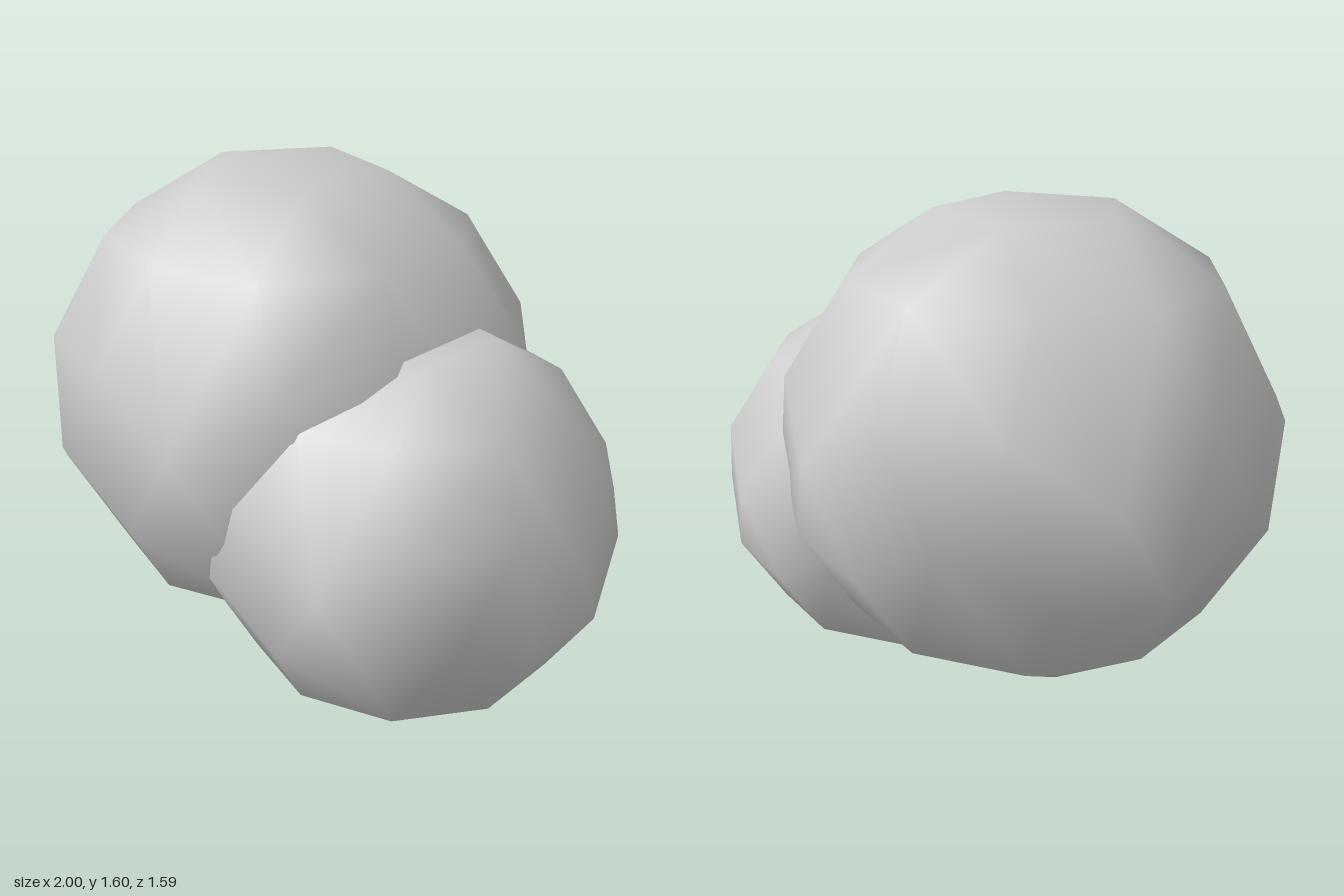
import * as THREE from 'three';
import { ConvexGeometry } from 'three/addons/geometries/ConvexGeometry.js';
import { mergeVertices } from 'three/addons/utils/BufferGeometryUtils.js';

// Upper-half vertex rings of a unit ball with pentagon caps:
// height and azimuth offsets (degrees), repeated five times around
const RINGS = [
  [0.9245, [36]],
  [0.689, [-18, 18]],
  [0.308, [-22.39, 22.39]],
  [0.0726, [0]],
];
const TURN = 7.1; // degrees the ball is turned about its vertical axis

// Faceted ball with shared, smooth normals, slightly flattened in height
function ballGeometry(radius, flatten) {
  const points = [];
  for (const [height, offsets] of RINGS) {
    const r = Math.sqrt(1 - height * height);
    for (let k = 0; k < 5; k++) {
      for (const offset of offsets) {
        const a = THREE.MathUtils.degToRad(TURN + 72 * k + offset);
        const p = new THREE.Vector3(r * Math.cos(a), height * flatten, r * Math.sin(a));
        p.multiplyScalar(radius);
        points.push(p, p.clone().negate()); // lower half is the upper half inverted
      }
    }
  }
  const hull = new ConvexGeometry(points);
  hull.deleteAttribute('normal');
  const geometry = mergeVertices(hull, 1e-4);
  geometry.computeVertexNormals();
  return geometry;
}

export function createModel() {
  const group = new THREE.Group();
  group.name = 'ballCluster';
  const material = new THREE.MeshStandardMaterial({ color: 0xcccccc });

  const addBall = (name, radius, x, y, z) => {
    const ball = new THREE.Mesh(ballGeometry(radius, 0.967), material);
    ball.name = name;
    ball.position.set(x, y, z);
    group.add(ball);
  };

  addBall('largeBall', 0.81, -0.2, 0.875, 0);
  addBall('smallBall', 0.67, 0.335, 0.6, 0.12);

  return group;
}
